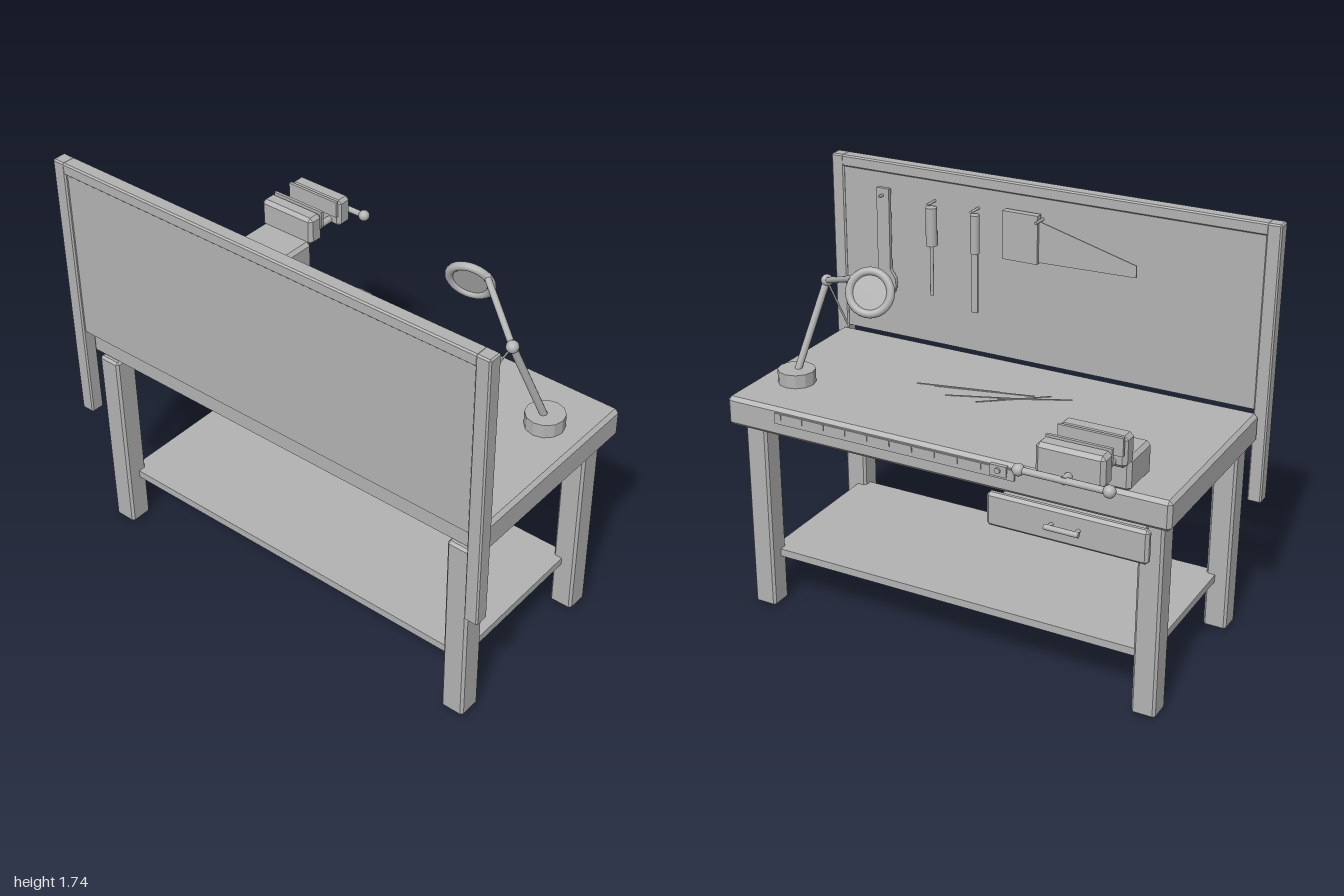
import * as THREE from 'three';
import { ConvexGeometry } from 'three/addons/geometries/ConvexGeometry.js';

export function createModel() {
  const model = new THREE.Group();
  model.name = 'workbench';
  const grey = new THREE.MeshStandardMaterial({ color: 0xb3b3b3 });
  grey.name = 'grey';
  const V = (x, y, z) => new THREE.Vector3(x, y, z);

  function group(name) {
    const g = new THREE.Group();
    g.name = name;
    model.add(g);
    return g;
  }
  function add(parent, name, geometry) {
    const mesh = new THREE.Mesh(geometry, grey);
    mesh.name = name;
    parent.add(mesh);
    return mesh;
  }
  // Box given by its limits, with optional chamfered edges
  function box(parent, name, x0, x1, y0, y1, z0, z1, c = 0) {
    const a = (x1 - x0) / 2, b = (y1 - y0) / 2, d = (z1 - z0) / 2;
    let geometry;
    if (c > 0) {
      const pts = [];
      for (const i of [-1, 1]) for (const j of [-1, 1]) for (const k of [-1, 1]) {
        pts.push(V(i * a, j * (b - c), k * (d - c)));
        pts.push(V(i * (a - c), j * b, k * (d - c)));
        pts.push(V(i * (a - c), j * (b - c), k * d));
      }
      geometry = new ConvexGeometry(pts);
    } else geometry = new THREE.BoxGeometry(2 * a, 2 * b, 2 * d);
    const mesh = add(parent, name, geometry);
    mesh.position.set((x0 + x1) / 2, (y0 + y1) / 2, (z0 + z1) / 2);
    return mesh;
  }
  // Round bar between two points
  function bar(parent, name, p, q, r, sides = 12) {
    const dir = q.clone().sub(p);
    const mesh = add(parent, name, new THREE.CylinderGeometry(r, r, dir.length(), sides));
    mesh.position.copy(p).add(q).multiplyScalar(0.5);
    mesh.quaternion.setFromUnitVectors(V(0, 1, 0), dir.normalize());
    return mesh;
  }
  function ball(parent, name, p, r) {
    add(parent, name, new THREE.SphereGeometry(r, 14, 10)).position.copy(p);
  }
  // Flat plate cut from an outline in the xy plane
  function plate(parent, name, outline, z, depth) {
    const shape = new THREE.Shape(outline.map(([x, y]) => new THREE.Vector2(x, y)));
    const g = new THREE.ExtrudeGeometry(shape, { depth, bevelEnabled: false });
    add(parent, name, g).position.z = z;
  }

  // Bench: top, legs and lower shelf
  const bench = group('bench');
  box(bench, 'benchTop', -0.965, 0.965, 0.84, 0.965, -0.32, 0.555, 0.015);
  for (const x of [-0.87, 0.87]) for (const z of [-0.217, 0.515])
    box(bench, 'leg', x - 0.05, x + 0.05, 0, 0.842, z - 0.05, z + 0.05, 0.01);
  box(bench, 'shelf', -0.86, 0.86, 0.217, 0.25, -0.207, 0.505);

  // Tool board with its frame
  const board = group('toolBoard');
  for (const s of [-1, 1])
    box(board, 'framePost', s * 0.97 - 0.03, s * 0.97 + 0.03, 0.57, 1.74, 0.555, 0.615, 0.006);
  box(board, 'frameTopRail', -0.95, 0.95, 1.69, 1.74, 0.555, 0.615, 0.006);
  box(board, 'panel', -0.945, 0.945, 0.972, 1.695, 0.562, 0.603);

  // Drawer under the top
  const drawer = group('drawer');
  box(drawer, 'drawerBox', -0.86, -0.28, 0.728, 0.828, -0.33, 0.38);
  box(drawer, 'drawerFace', -0.9, -0.24, 0.71, 0.85, -0.362, -0.325, 0.012);
  bar(drawer, 'drawerHandle', V(-0.64, 0.785, -0.393), V(-0.5, 0.785, -0.393), 0.011);
  for (const x of [-0.625, -0.515])
    bar(drawer, 'handlePost', V(x, 0.785, -0.355), V(x, 0.785, -0.393), 0.008);

  // Vise
  const vise = group('vise');
  box(vise, 'viseBase', -0.8, -0.545, 0.96, 1.095, -0.315, -0.125, 0.015);
  box(vise, 'fixedJaw', -0.807, -0.537, 1.08, 1.205, -0.375, -0.3, 0.015);
  box(vise, 'movingJaw', -0.807, -0.537, 1.08, 1.205, -0.558, -0.482, 0.015);
  for (const z of [-0.388, -0.483])
    box(vise, 'jawPlate', -0.8, -0.543, 1.135, 1.207, z, z + 0.013);
  for (const [x, r] of [[-0.755, 0.015], [-0.672, 0.024], [-0.59, 0.015]])
    bar(vise, 'guideRod', V(x, 1.105, -0.31), V(x, 1.105, -0.55), r);
  bar(vise, 'screwEnd', V(-0.672, 1.105, -0.55), V(-0.672, 1.105, -0.6), 0.016);
  bar(vise, 'viseHandle', V(-0.845, 1.105, -0.595), V(-0.495, 1.105, -0.595), 0.013);
  for (const x of [-0.845, -0.495]) ball(vise, 'handleKnob', V(x, 1.105, -0.595), 0.024);

  // Ruler along the working edge, with marks and a slider
  const ruler = group('ruler');
  box(ruler, 'rulerStrip', -0.34, 0.73, 0.9, 0.945, -0.327, -0.318);
  for (let i = 0; i <= 10; i++) {
    const x = -0.3 + i * 0.1;
    box(ruler, 'rulerMark', x - 0.002, x + 0.002, 0.92, 0.945, -0.331, -0.326);
  }
  box(ruler, 'slider', -0.31, -0.24, 0.91, 0.955, -0.334, -0.318);
  bar(ruler, 'sliderKnob', V(-0.275, 0.935, -0.32), V(-0.275, 0.935, -0.342), 0.012);

  // Scratches on the top
  const scratches = group('scratches');
  for (const [x0, z0, x1, z1] of [[0.36, 0.16, 0.02, 0.24], [0.28, 0.17, -0.12, 0.27],
    [0.2, 0.11, -0.08, 0.22], [0.06, 0.11, -0.18, 0.3], [0.0, 0.18, -0.27, 0.31]]) {
    const len = Math.hypot(x1 - x0, z1 - z0);
    const m = add(scratches, 'scratch', new THREE.BoxGeometry(len, 0.003, 0.005));
    m.position.set((x0 + x1) / 2, 0.9662, (z0 + z1) / 2);
    m.rotation.y = -Math.atan2(z1 - z0, x1 - x0);
  }

  // Magnifier lamp
  const lamp = group('magnifierLamp');
  const foot = V(0.8, 1.0, -0.058), elbow = V(0.73, 1.37, 0.083), wrist = V(0.49, 1.475, -0.09);
  const baseGeometry = new THREE.CylinderGeometry(0.078, 0.078, 0.06, 12).toNonIndexed();
  baseGeometry.computeVertexNormals();
  add(lamp, 'lampBase', baseGeometry).position.set(0.8, 0.992, -0.058);
  bar(lamp, 'lowerArm', foot, elbow, 0.015);
  bar(lamp, 'upperArm', elbow, wrist, 0.013);
  bar(lamp, 'springRod', elbow, V(0.635, 1.2, 0.08), 0.004, 6);
  ball(lamp, 'elbowJoint', elbow, 0.025);
  ball(lamp, 'wristJoint', wrist, 0.017);
  const head = new THREE.Group();
  head.name = 'magnifierHead';
  head.position.set(0.418, 1.43, -0.088);
  head.quaternion.setFromUnitVectors(V(0, 0, 1), V(-0.25, 0.35, -0.9).normalize());
  lamp.add(head);
  add(head, 'lensRing', new THREE.TorusGeometry(0.083, 0.017, 10, 28));
  add(head, 'lens', new THREE.CylinderGeometry(0.076, 0.076, 0.009, 28)).rotation.x = Math.PI / 2;

  // Hanging tools: pegs, wrench, screwdriver, chisel and saw
  const tools = group('tools');
  for (const x of [0, 0.295, 0.5, 0.73])
    bar(tools, 'peg', V(x, 1.605, 0.57), V(x, 1.605, 0.495), 0.006, 8);
  const half = [[0.018, 1.22], [0.025, 1.16], [0.045, 1.175], [0.057, 1.21],
    [0.053, 1.245], [0.03, 1.28], [0.03, 1.635]];
  plate(tools, 'wrench', [...half.map(([x, y]) => [0.73 + x, y]),
    ...half.slice().reverse().map(([x, y]) => [0.73 - x, y])], 0.522, 0.018);
  bar(tools, 'screwdriverHandle', V(0.5, 1.42, 0.53), V(0.5, 1.585, 0.53), 0.024);
  bar(tools, 'screwdriverShaft', V(0.5, 1.2, 0.53), V(0.5, 1.43, 0.53), 0.008);
  bar(tools, 'chiselHandle', V(0.295, 1.42, 0.53), V(0.295, 1.585, 0.53), 0.02);
  box(tools, 'chiselBlade', 0.28, 0.31, 1.16, 1.43, 0.525, 0.535);
  box(tools, 'sawHandle', 0, 0.16, 1.425, 1.63, 0.513, 0.545);
  plate(tools, 'sawBlade', [[0.02, 1.43], [0.02, 1.61], [-0.43, 1.49], [-0.43, 1.44]], 0.527, 0.006);

  return model;
}
